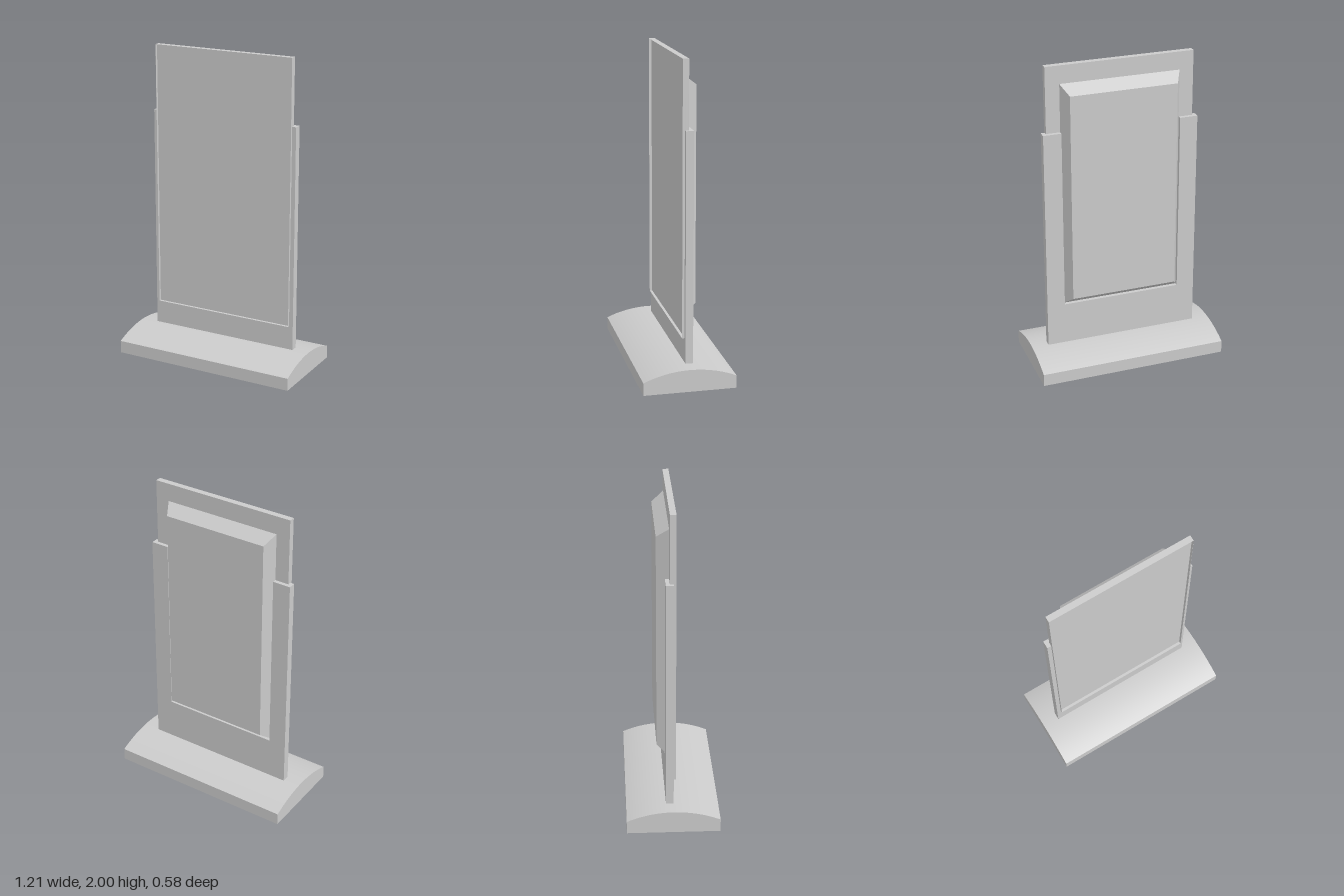
import * as THREE from 'three';
import { toCreasedNormals } from 'three/addons/utils/BufferGeometryUtils.js';

const material = new THREE.MeshStandardMaterial({ color: 0xcccccc });

function rectPath(path, x, y0, y1) {
  return path.moveTo(-x, y0).lineTo(x, y0).lineTo(x, y1).lineTo(-x, y1).lineTo(-x, y0);
}

function extrude(shape, z0, z1) {
  const geometry = new THREE.ExtrudeGeometry(shape, { depth: z1 - z0, bevelEnabled: false, curveSegments: 24 });
  return geometry.translate(0, 0, z0);
}

// Upright plate layer with a notch open at the top
function notchedPlate(notchX, notchY, z0, z1) {
  const w = 0.498, bottom = 0.12, top = 1.58;
  const shape = new THREE.Shape();
  shape.moveTo(-w, bottom).lineTo(w, bottom).lineTo(w, top).lineTo(notchX, top);
  shape.lineTo(notchX, notchY).lineTo(-notchX, notchY).lineTo(-notchX, top).lineTo(-w, top);
  shape.closePath();
  return extrude(shape, z0, z1);
}

export function createModel() {
  const group = new THREE.Group();
  const add = (name, geometry) => {
    const mesh = new THREE.Mesh(geometry, material);
    mesh.name = name;
    group.add(mesh);
  };

  // Foot: flat-sided block with a gently arched top
  const depth = 0.289, edgeY = 0.08, crownY = 0.14, rise = crownY - edgeY;
  const radius = (depth * depth + rise * rise) / (2 * rise);
  const half = Math.asin(depth / radius);
  const profile = new THREE.Shape();
  profile.moveTo(-depth, 0).lineTo(depth, 0).lineTo(depth, edgeY);
  profile.absarc(0, crownY - radius, radius, Math.PI / 2 - half, Math.PI / 2 + half, false);
  profile.closePath();
  add('base', toCreasedNormals(extrude(profile, -0.606, 0.606).rotateY(Math.PI / 2), 0.3));

  // Support: rear layer cut out for the housing, front layer pocketed for the panel
  const panelX = 0.472, panelY = 0.295, panelBack = -0.018, panelFront = 0.02, screenZ = 0.003;
  add('supportRear', notchedPlate(0.383, 0.413, -0.043, panelBack));
  add('supportFront', notchedPlate(panelX, panelY, panelBack, 0.005));

  // Display: solid panel whose screen sits slightly behind a very thin rim
  const rim = rectPath(new THREE.Shape(), panelX, panelY, 2);
  rim.holes.push(rectPath(new THREE.Path(), panelX - 0.001, panelY + 0.001, 1.999));
  add('displayRim', extrude(rim, screenZ, panelFront));
  add('displayPanel', extrude(rectPath(new THREE.Shape(), panelX, panelY, 2), panelBack, screenZ));

  // Rear housing: box tapering towards the back
  const housing = new THREE.BoxGeometry(0.766, 1.472, 0.076);
  const p = housing.attributes.position;
  for (let i = 0; i < p.count; i++) {
    if (p.getZ(i) > 0) continue;
    p.setX(i, p.getX(i) - Math.sign(p.getX(i)) * 0.041);
    p.setY(i, p.getY(i) - Math.sign(p.getY(i)) * 0.058);
  }
  housing.computeVertexNormals();
  add('rearHousing', housing.translate(0, 1.149, panelBack - 0.038));

  return group;
}
